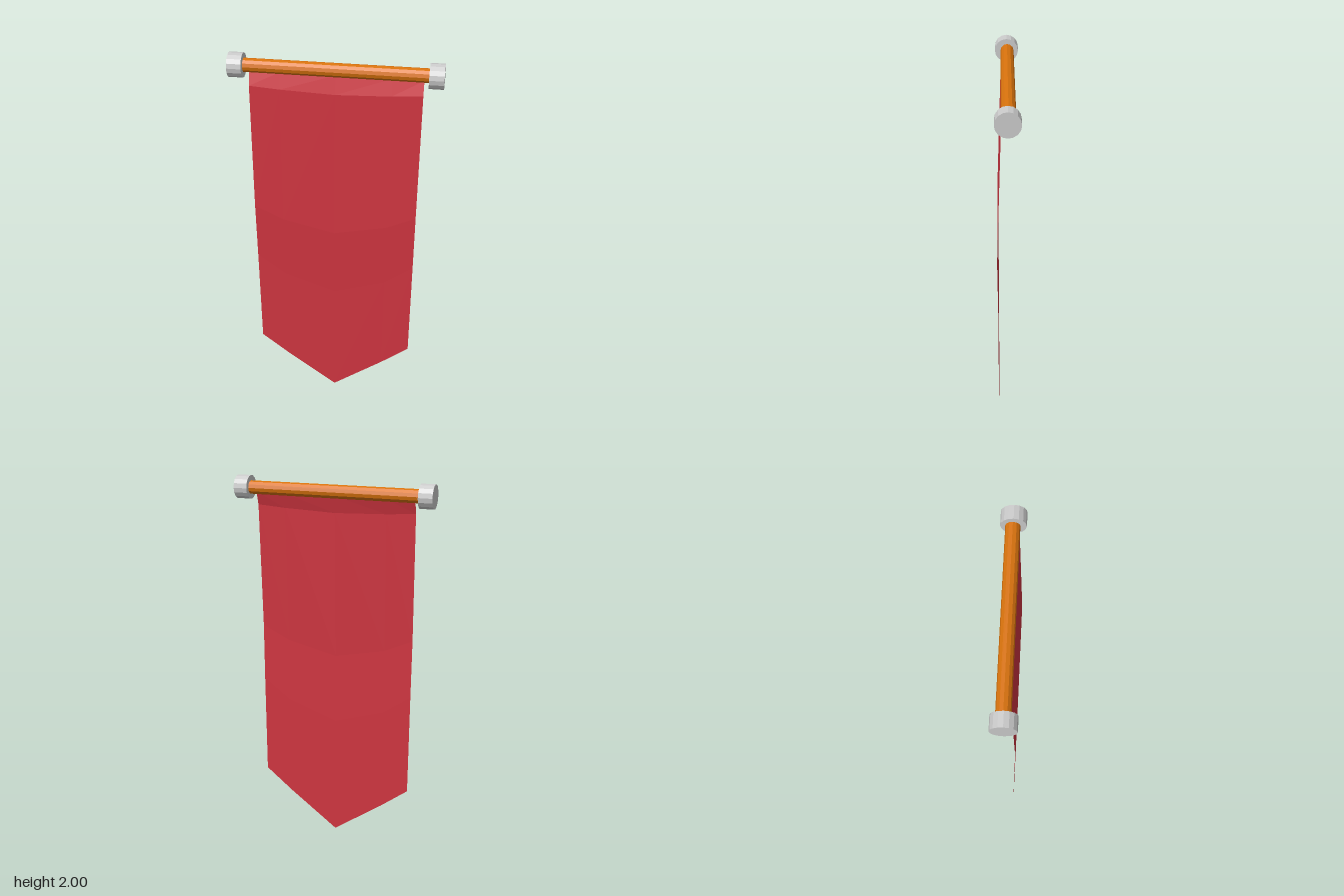
import * as THREE from 'three';

export function createModel() {
  const model = new THREE.Group();
  const wood = new THREE.MeshStandardMaterial({ color: 0xd9730d, flatShading: true });
  const metal = new THREE.MeshStandardMaterial({ color: 0xcccccc, flatShading: true });
  const fabric = new THREE.MeshStandardMaterial({ color: 0xcf3540, flatShading: true, side: THREE.DoubleSide });
  const axisY = 1.942;

  // Horizontal cylinder running along x
  function bar(name, radius, length, sides, x, z, material) {
    const geometry = new THREE.CylinderGeometry(radius, radius, length, sides);
    geometry.rotateZ(Math.PI / 2);
    const mesh = new THREE.Mesh(geometry, material);
    mesh.name = name;
    mesh.position.set(x, axisY, z);
    model.add(mesh);
  }
  bar('rod', 0.034, 0.9, 12, 0, -0.004, wood);
  bar('leftEndCap', 0.06, 0.071, 16, 0.481, -0.001, metal);
  bar('rightEndCap', 0.06, 0.071, 16, -0.481, -0.001, metal);

  // Cloth rows: height at the side, quarter and centre columns, then depth
  const rows = [
    [1.92, 1.92, 1.92, 0.009],
    [1.85, 1.84, 1.83, 0.030],
    [1.19, 1.12, 1.06, 0.050],
    [0.88, 0.77, 0.68, 0.046],
    [0.32, 0.20, 0.00, 0.045],
  ];
  const columns = [-0.42, -0.27, 0, 0.27, 0.42];
  const cloth = new THREE.PlaneGeometry(1, 1, columns.length - 1, rows.length - 1);
  const position = cloth.attributes.position;
  rows.forEach((row, r) => columns.forEach((x, c) => {
    position.setXYZ(r * columns.length + c, x + 0.003, row[2 - Math.abs(c - 2)], row[3]);
  }));
  cloth.computeVertexNormals();
  const banner = new THREE.Mesh(cloth, fabric);
  banner.name = 'bannerCloth';
  model.add(banner);

  return model;
}
